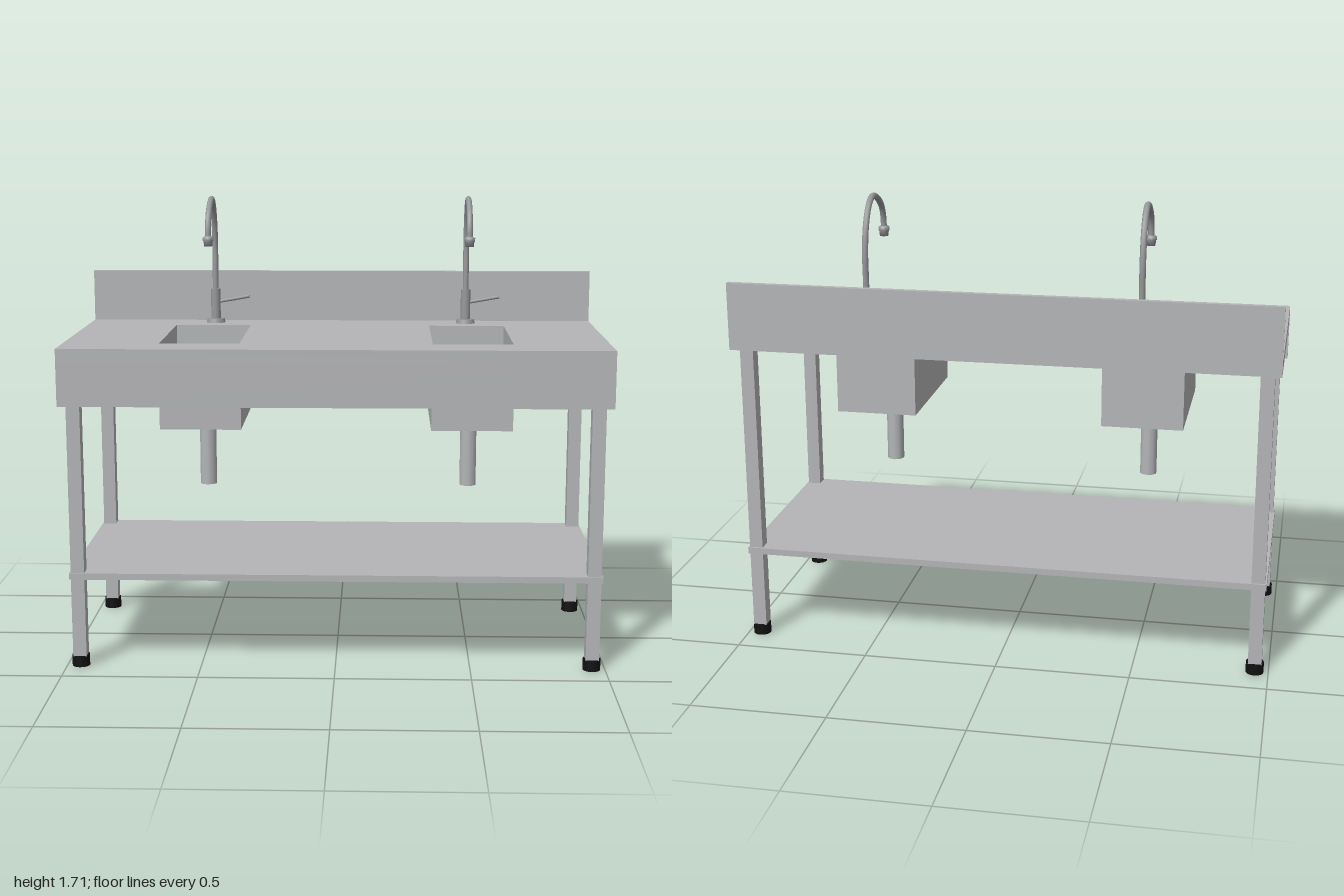
import * as THREE from 'three';

const steel = new THREE.MeshStandardMaterial({ name: 'brushed steel', color: 0xb4b5b7 });
const chrome = new THREE.MeshStandardMaterial({ name: 'tap chrome', color: 0x96989a });
const rubber = new THREE.MeshStandardMaterial({ name: 'black rubber', color: 0x111111 });

function mesh(parent, name, geometry, material, x = 0, y = 0, z = 0) {
  const m = new THREE.Mesh(geometry, material);
  m.name = name;
  m.position.set(x, y, z);
  parent.add(m);
  return m;
}

// Box given by its lower and upper limits
function box(parent, name, material, [x0, x1], [y0, y1], [z0, z1]) {
  return mesh(parent, name, new THREE.BoxGeometry(x1 - x0, y1 - y0, z1 - z0), material,
    (x0 + x1) / 2, (y0 + y1) / 2, (z0 + z1) / 2);
}

// Closed rectangle in the x-z plane
function rect(Type, x0, x1, z0, z1) {
  return new Type([[x0, z0], [x1, z0], [x1, z1], [x0, z1]].map(p => new THREE.Vector2(...p)));
}

// Horizontal plate with rectangular holes, hanging down from its top height
function plate(parent, name, outer, holes, top, depth) {
  const shape = rect(THREE.Shape, ...outer);
  holes.forEach(h => shape.holes.push(rect(THREE.Path, ...h)));
  const g = new THREE.ExtrudeGeometry(shape, { depth, bevelEnabled: false });
  g.rotateX(Math.PI / 2);
  return mesh(parent, name, g, steel, 0, top, 0);
}

function createBasin(x) {
  const basin = new THREE.Group();
  basin.name = 'basin';
  const inner = [x - 0.147, x + 0.147, -0.247, 0.277];
  plate(basin, 'basinWalls', [x - 0.15, x + 0.15, -0.25, 0.28], [inner], 1.15, 0.27);
  box(basin, 'basinFloor', steel, [x - 0.149, x + 0.149], [0.88, 0.886], [-0.249, 0.279]);
  mesh(basin, 'drain', new THREE.CylinderGeometry(0.03, 0.03, 0.004, 16), steel, x, 0.887, 0.015);
  mesh(basin, 'drainPipe', new THREE.CylinderGeometry(0.032, 0.032, 0.262, 10), steel, x, 0.75, 0.015);
  return basin;
}

function createTap(x) {
  const tap = new THREE.Group();
  tap.name = 'tap';
  tap.position.set(x, 1.2, -0.34);
  mesh(tap, 'tapFlange', new THREE.CylinderGeometry(0.034, 0.038, 0.016, 20), chrome, 0, 0.008, 0);
  mesh(tap, 'tapBody', new THREE.CylinderGeometry(0.019, 0.019, 0.12, 16), chrome, 0, 0.075, 0);

  // Gooseneck: z, y offsets from the tap's foot
  const path = [[0, 0.12], [-0.003, 0.22], [-0.005, 0.31], [0.015, 0.405], [0.06, 0.474],
    [0.11, 0.498], [0.175, 0.481], [0.23, 0.443], [0.252, 0.4], [0.257, 0.35]];
  const curve = new THREE.CatmullRomCurve3(path.map(([z, y]) => new THREE.Vector3(0, y, z)));
  mesh(tap, 'tapNeck', new THREE.TubeGeometry(curve, 28, 0.0115, 10), chrome);

  // Nozzle with a wider collar
  const nozzle = [[0, 0.325], [0.016, 0.325], [0.018, 0.345], [0.021, 0.347], [0.021, 0.358], [0.0115, 0.364]];
  mesh(tap, 'tapNozzle', new THREE.LatheGeometry(nozzle.map(p => new THREE.Vector2(...p)), 14),
    chrome, 0, 0, 0.257);

  // Side lever
  const lever = mesh(tap, 'tapLever', new THREE.CylinderGeometry(0.007, 0.006, 0.125, 8), chrome, 0.073, 0.094, 0);
  lever.rotation.z = -Math.PI / 2 + 0.18;
  return tap;
}

export function createModel() {
  const model = new THREE.Group();
  model.name = 'doubleSinkTable';

  // Worktop with two openings, front apron and splashback
  const openings = [-0.5, 0.5].map(x => [x - 0.147, x + 0.147, -0.247, 0.277]);
  plate(model, 'worktop', [-1, 1, -0.43, 0.43], openings, 1.2, 0.05);
  box(model, 'frontApron', steel, [-1, 1], [0.99, 1.15], [0.41, 0.43]);
  box(model, 'splashback', steel, [-1, 1], [1.2, 1.4], [-0.43, -0.408]);

  // Lower shelf
  box(model, 'shelf', steel, [-0.98, 0.98], [0.338, 0.362], [-0.398, 0.402]);

  // Legs with rubber feet
  for (const x of [-0.95, 0.95]) {
    for (const z of [-0.365, 0.37]) {
      box(model, 'leg', steel, [x - 0.025, x + 0.025], [0.04, 1.15], [z - 0.025, z + 0.025]);
      mesh(model, 'foot', new THREE.CylinderGeometry(0.033, 0.033, 0.042, 16), rubber, x, 0.021, z);
    }
  }

  for (const x of [-0.5, 0.5]) model.add(createBasin(x), createTap(x));
  return model;
}
